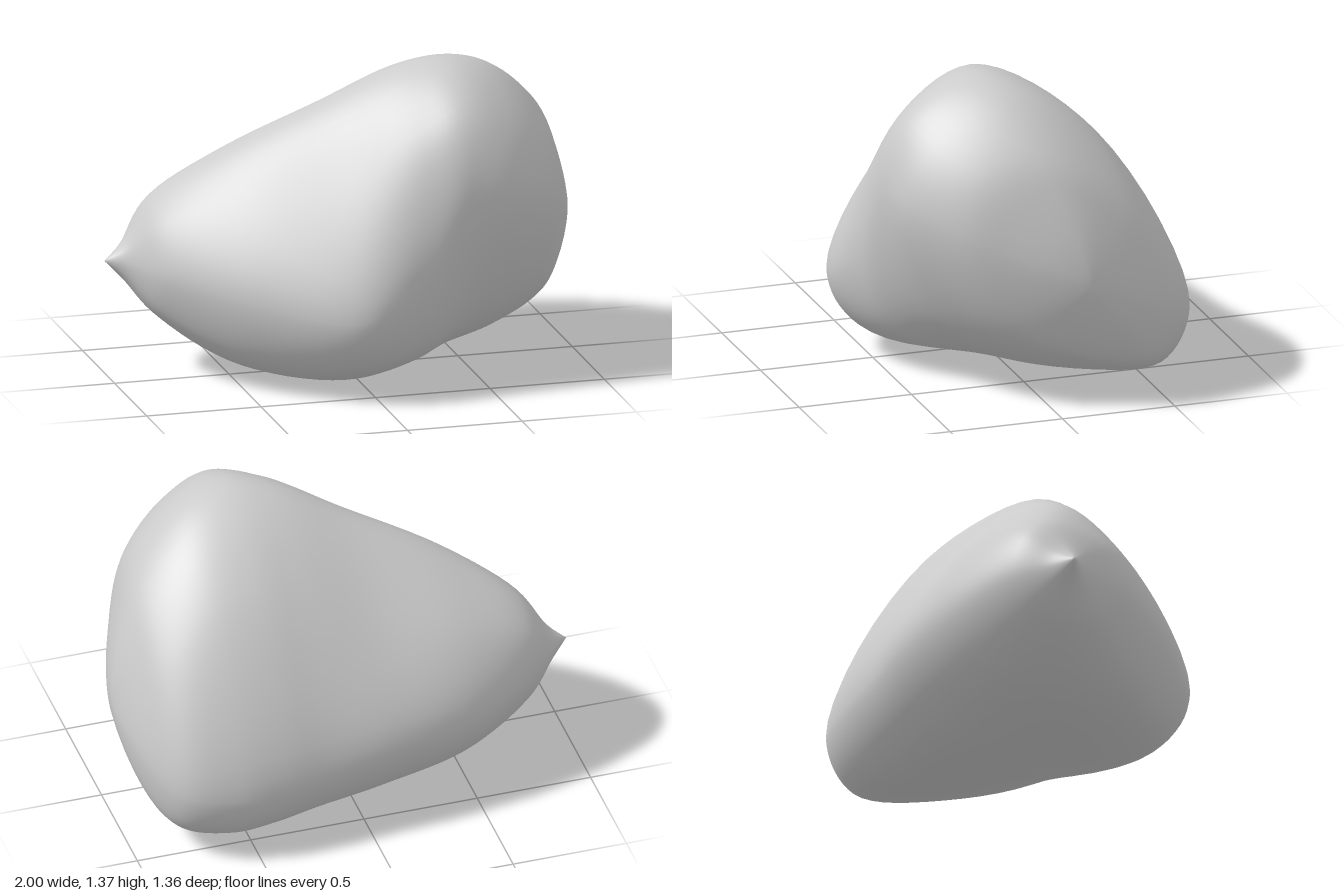
import * as THREE from 'three';
import { mergeVertices } from 'three/addons/utils/BufferGeometryUtils.js';

// Cross-sections along x: [x, then z,y of top, front top, front, front low,
// bottom, back low, back, back top]
const SECTIONS = [
  [-0.8, -0.17, 0.75, 0.03, 0.67, 0.13, 0.48, 0.04, 0.31, -0.12, 0.26, -0.29, 0.32, -0.37, 0.48, -0.32, 0.66],
  [-0.5, -0.05, 0.97, 0.22, 0.8, 0.43, 0.43, 0.32, 0.17, 0.05, 0.07, -0.36, 0.16, -0.53, 0.43, -0.38, 0.78],
  [-0.1, 0.06, 1.18, 0.4, 0.91, 0.67, 0.38, 0.54, 0.13, 0.1, 0, -0.42, 0.1, -0.62, 0.41, -0.36, 0.89],
  [0.2, 0.13, 1.33, 0.49, 1.09, 0.63, 0.54, 0.5, 0.18, 0.05, 0.045, -0.46, 0.08, -0.65, 0.37, -0.33, 1.02],
  [0.4, 0.14, 1.365, 0.49, 1.2, 0.6, 0.83, 0.43, 0.28, 0, 0.065, -0.5, 0.07, -0.675, 0.35, -0.33, 1.07],
  [0.6, 0.1, 1.31, 0.44, 1.14, 0.56, 0.84, 0.34, 0.31, -0.05, 0.1, -0.54, 0.085, -0.68, 0.34, -0.34, 1.04],
  [0.8, 0.02, 1.14, 0.3, 1.02, 0.4, 0.77, 0.22, 0.35, -0.12, 0.17, -0.51, 0.13, -0.63, 0.36, -0.37, 0.88],
  [0.9, -0.05, 0.97, 0.14, 0.88, 0.22, 0.7, 0.1, 0.4, -0.15, 0.24, -0.42, 0.22, -0.51, 0.4, -0.34, 0.75],
];
const SIDES = 8, RINGS = 72, AROUND = 64;
const TIP = new THREE.Vector3(-1, 0.49, -0.16);
const END = new THREE.Vector3(1, 0.57, -0.13);

// Lengthwise control points of one side, from the pointed tip to the blunt end
function sidePoints(i) {
  const a = (i / SIDES) * Math.PI * 2;
  const neck = new THREE.Vector3(-0.92, 0.485 + 0.08 * Math.cos(a), -0.16 + 0.075 * Math.sin(a));
  const body = SECTIONS.map((s) => new THREE.Vector3(s[0], s[2 + 2 * i], s[1 + 2 * i]));
  return [TIP, neck, ...body];
}

function bodyGeometry() {
  // Each curve runs over the blunt end and back along the opposite side,
  // so that end is evenly rounded
  const curves = [];
  for (let i = 0; i < SIDES; i++) {
    const back = sidePoints((i + SIDES / 2) % SIDES).reverse();
    curves.push(new THREE.CatmullRomCurve3([...sidePoints(i), END, ...back]));
  }
  const positions = [], index = [];
  for (let j = 0; j <= RINGS; j++) {
    const knots = curves.map((c) => c.getPoint((0.5 * j) / RINGS));
    const atPole = j === 0 || j === RINGS;
    const ring = atPole ? null : new THREE.CatmullRomCurve3(knots, true);
    for (let k = 0; k < AROUND; k++) {
      const p = atPole ? (j === 0 ? TIP : END) : ring.getPoint(k / AROUND);
      positions.push(p.x, p.y, p.z);
      if (j === RINGS) continue;
      const a = j * AROUND + k, b = j * AROUND + ((k + 1) % AROUND);
      if (j > 0) index.push(a, b, a + AROUND);
      if (j < RINGS - 1) index.push(b, b + AROUND, a + AROUND);
    }
  }
  let geometry = new THREE.BufferGeometry();
  geometry.setAttribute('position', new THREE.Float32BufferAttribute(positions, 3));
  geometry.setIndex(index);
  geometry = mergeVertices(geometry, 1e-5);
  geometry.computeVertexNormals();
  return geometry;
}

export function createModel() {
  const group = new THREE.Group();
  group.name = 'pebble';
  const body = new THREE.Mesh(bodyGeometry(), new THREE.MeshStandardMaterial({ color: 0xcccccc }));
  body.name = 'lumpyBody';
  group.add(body);
  return group;
}
